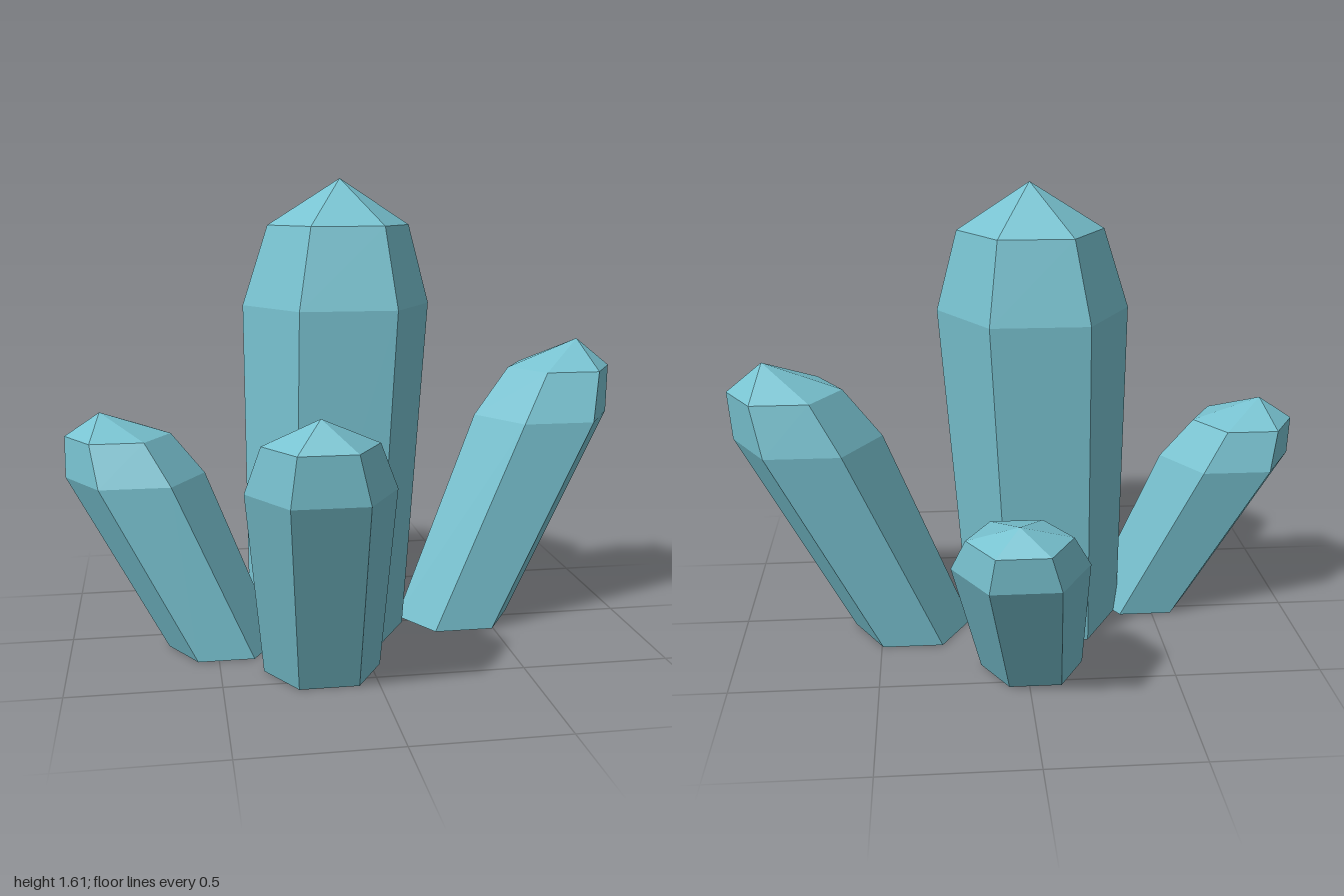
import * as THREE from 'three';

const SIDES = 6;

// Leaning hexagonal crystal: level rings [x, y, z, radius] from the base up, closed by a pointed tip
function crystalGeometry(rings, tip) {
  const positions = [];
  const corner = ([x, y, z, r], i) => {
    const t = (i / SIDES) * Math.PI * 2;
    return [x + r * Math.cos(t), y, z + r * Math.sin(t)];
  };
  const face = (a, b, c) => positions.push(...a, ...b, ...c);
  const base = rings[0], top = rings[rings.length - 1];

  for (let i = 0; i < SIDES; i++) {
    // flat underside
    face(base.slice(0, 3), corner(base, i), corner(base, i + 1));
    // shaft and shoulder
    for (let k = 0; k < rings.length - 1; k++) {
      const a = corner(rings[k], i), b = corner(rings[k], i + 1);
      const c = corner(rings[k + 1], i + 1), d = corner(rings[k + 1], i);
      face(a, d, b);
      face(b, d, c);
    }
    // tip facet
    face(corner(top, i), tip, corner(top, i + 1));
  }
  const geometry = new THREE.BufferGeometry();
  geometry.setAttribute('position', new THREE.Float32BufferAttribute(positions, 3));
  geometry.computeVertexNormals();
  return geometry;
}

// Base, shoulder and crown rings, then the tip point
const CRYSTALS = {
  centreCrystal: {
    rings: [[-0.095, 0, 0.013, 0.28], [-0.05, 1.175, -0.032, 0.33], [-0.04, 1.45, -0.044, 0.25]],
    tip: [-0.035, 1.61, -0.05],
  },
  leftCrystal: {
    rings: [[0.39, 0, -0.05, 0.21], [0.732, 0.75, -0.1, 0.255], [0.802, 0.923, -0.115, 0.195]],
    tip: [0.872, 1.025, -0.122],
  },
  rightCrystal: {
    rings: [[-0.475, 0, 0.115, 0.19], [-0.763, 0.6, 0.038, 0.237], [-0.82, 0.74, 0.02, 0.18]],
    tip: [-0.88, 0.82, 0.022],
  },
  frontCrystal: {
    rings: [[-0.163, 0, 0.39, 0.195], [-0.197, 0.67, 0.645, 0.236], [-0.205, 0.825, 0.695, 0.18]],
    tip: [-0.213, 0.913, 0.75],
  },
  backCrystal: {
    rings: [[-0.02, 0, -0.38, 0.175], [0.038, 0.495, -0.65, 0.22], [0.046, 0.612, -0.705, 0.167]],
    tip: [0.05, 0.675, -0.76],
  },
};

export function createModel() {
  const group = new THREE.Group();
  group.name = 'crystalCluster';
  const crystal = new THREE.MeshStandardMaterial({ color: 0x78c2d0, flatShading: true });
  crystal.name = 'paleTealCrystal';

  for (const [name, { rings, tip }] of Object.entries(CRYSTALS)) {
    const mesh = new THREE.Mesh(crystalGeometry(rings, tip), crystal);
    mesh.name = name;
    group.add(mesh);
  }
  return group;
}
